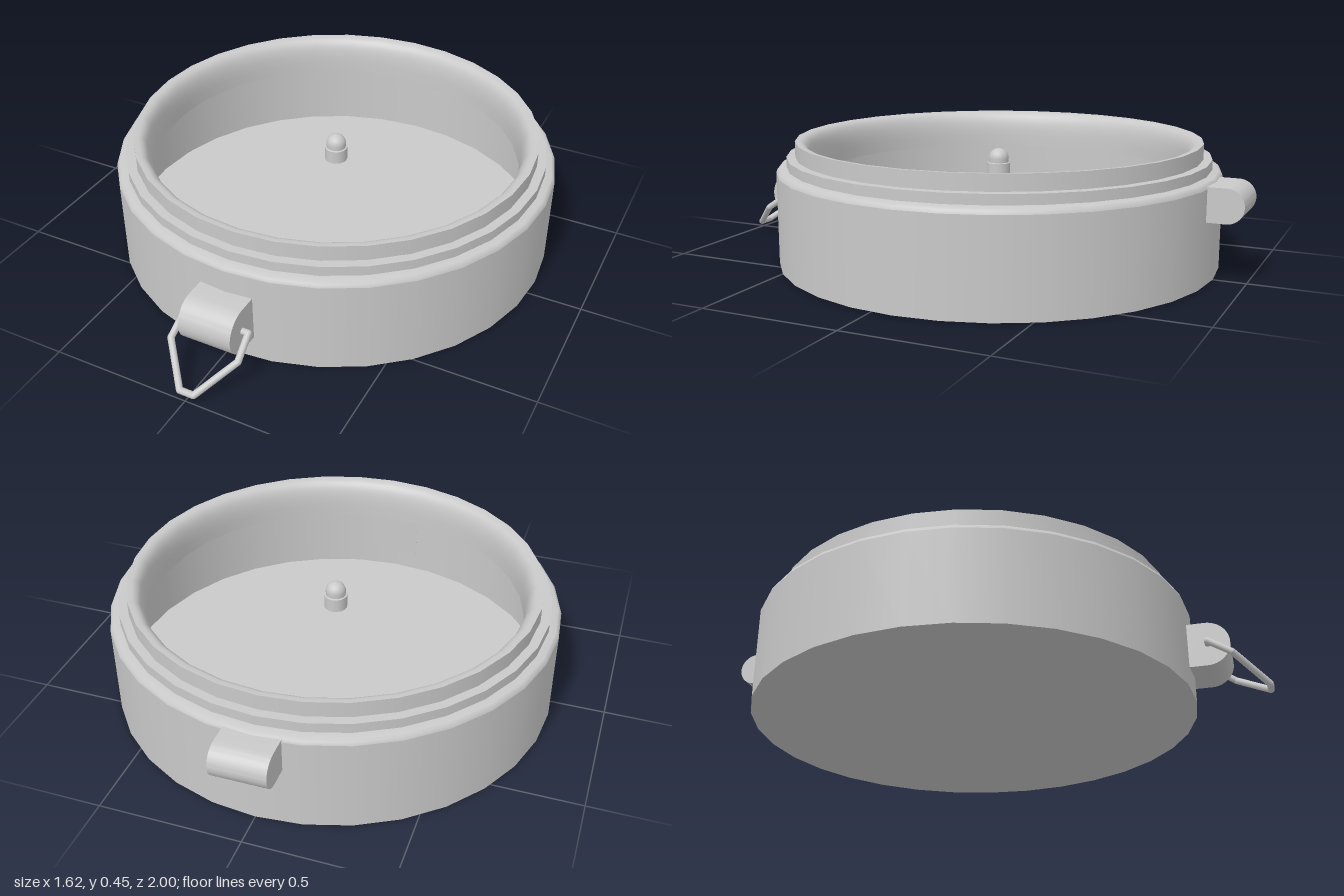
import * as THREE from 'three';
import { toCreasedNormals } from 'three/addons/utils/BufferGeometryUtils.js';

const SIDES = 32;
const CENTRE_Z = -0.075;

export function createModel() {
  const model = new THREE.Group();
  model.name = 'roundCase';
  const metal = new THREE.MeshStandardMaterial({ color: 0xc9c9c9 });
  metal.name = 'grey metal';

  const add = (parent, name, geometry) => {
    const mesh = new THREE.Mesh(geometry, metal);
    mesh.name = name;
    parent.add(mesh);
    return mesh;
  };
  const group = (name, z = 0) => {
    const g = new THREE.Group();
    g.name = name;
    g.position.z = z;
    model.add(g);
    return g;
  };
  const lathe = (parent, name, profile, sides = SIDES) =>
    add(parent, name, new THREE.LatheGeometry(profile.map(([r, y]) => new THREE.Vector2(r, y)), sides));

  // Case body: each smooth stretch of the profile is its own surface, so edges stay crisp
  const body = group('caseBody', CENTRE_Z);
  const rimCurve = [];
  for (let i = 0; i <= 10; i++) {
    const a = (i / 10) * Math.PI / 2;
    const squared = (v) => Math.pow(Math.max(v, 0), 2 / 3);
    rimCurve.push([0.74 - 0.06 * squared(Math.sin(a)), 0.305 + 0.142 * squared(Math.cos(a))]);
  }
  const sections = {
    base: [[0, 0], [0.809, 0]],
    outerWall: [[0.809, 0], [0.809, 0.335]],
    shoulder: [[0.809, 0.335], [0.805, 0.346], [0.796, 0.353], [0.772, 0.356]],
    lowerStep: [[0.772, 0.356], [0.772, 0.391]],
    upperLedge: [[0.772, 0.391], [0.74, 0.391]],
    lip: [[0.74, 0.391], [0.74, 0.447]],
    innerRim: rimCurve,
    rimUnderside: [[0.68, 0.305], [0.795, 0.305]],
    innerWall: [[0.795, 0.305], [0.795, 0.013]],
    floor: [[0.795, 0.013], [0, 0.013]],
  };
  for (const [name, profile] of Object.entries(sections)) lathe(body, name, profile);

  // Centre pin with a domed tip
  const pin = group('centrePin', CENTRE_Z);
  const dome = [[0.036, 0.352]];
  for (let i = 0; i <= 6; i++) {
    const a = (i / 6) * Math.PI / 2;
    dome.push([0.037 * Math.cos(a), 0.367 + 0.036 * Math.sin(a)]);
  }
  lathe(pin, 'pinBase', [[0, 0.3], [0.042, 0.3]], 16);
  lathe(pin, 'pinShaft', [[0.042, 0.3], [0.042, 0.35]], 16);
  lathe(pin, 'pinShoulder', [[0.042, 0.35], [0.036, 0.352]], 16);
  lathe(pin, 'pinDome', dome, 16);

  // Round-nosed lug, running from the inside of the wall outwards along z
  const lug = (name, inner, tip, low, high, direction) => {
    const r = (high - low) / 2;
    const shape = new THREE.Shape();
    shape.moveTo(inner, low);
    shape.lineTo(tip - r, low);
    shape.absarc(tip - r, low + r, r, -Math.PI / 2, Math.PI / 2, false);
    shape.lineTo(inner, high);
    const geo = new THREE.ExtrudeGeometry(shape, { depth: 0.194, bevelEnabled: false, curveSegments: 12 });
    geo.translate(0, 0, -0.097);
    geo.rotateY(-direction * Math.PI / 2);
    add(model, name, toCreasedNormals(geo, 0.6));
  };
  lug('frontLug', 0.71, 0.87, 0.088, 0.252, 1);
  lug('backHingeLug', 0.86, 1, 0.222, 0.343, -1);

  // Bent wire loop hanging from the front lug
  const loop = group('wireLoop');
  const half = [[0.085, 0.17, 0.794], [0.12, 0.17, 0.794], [0.126, 0.116, 0.874], [0.026, 0.026, 0.988]];
  const path = [...half, ...half.slice().reverse().map(([x, y, z]) => [-x, y, z])]
    .map((p) => new THREE.Vector3(...p));
  const up = new THREE.Vector3(0, 1, 0);
  for (let i = 0; i < path.length - 1; i++) {
    const run = path[i + 1].clone().sub(path[i]);
    const rod = add(loop, 'wireRod', new THREE.CylinderGeometry(0.012, 0.012, run.length(), 10));
    rod.position.copy(path[i]).addScaledVector(run, 0.5);
    rod.quaternion.setFromUnitVectors(up, run.normalize());
    if (i > 0) add(loop, 'wireBend', new THREE.SphereGeometry(0.012, 10, 8)).position.copy(path[i]);
  }
  return model;
}
